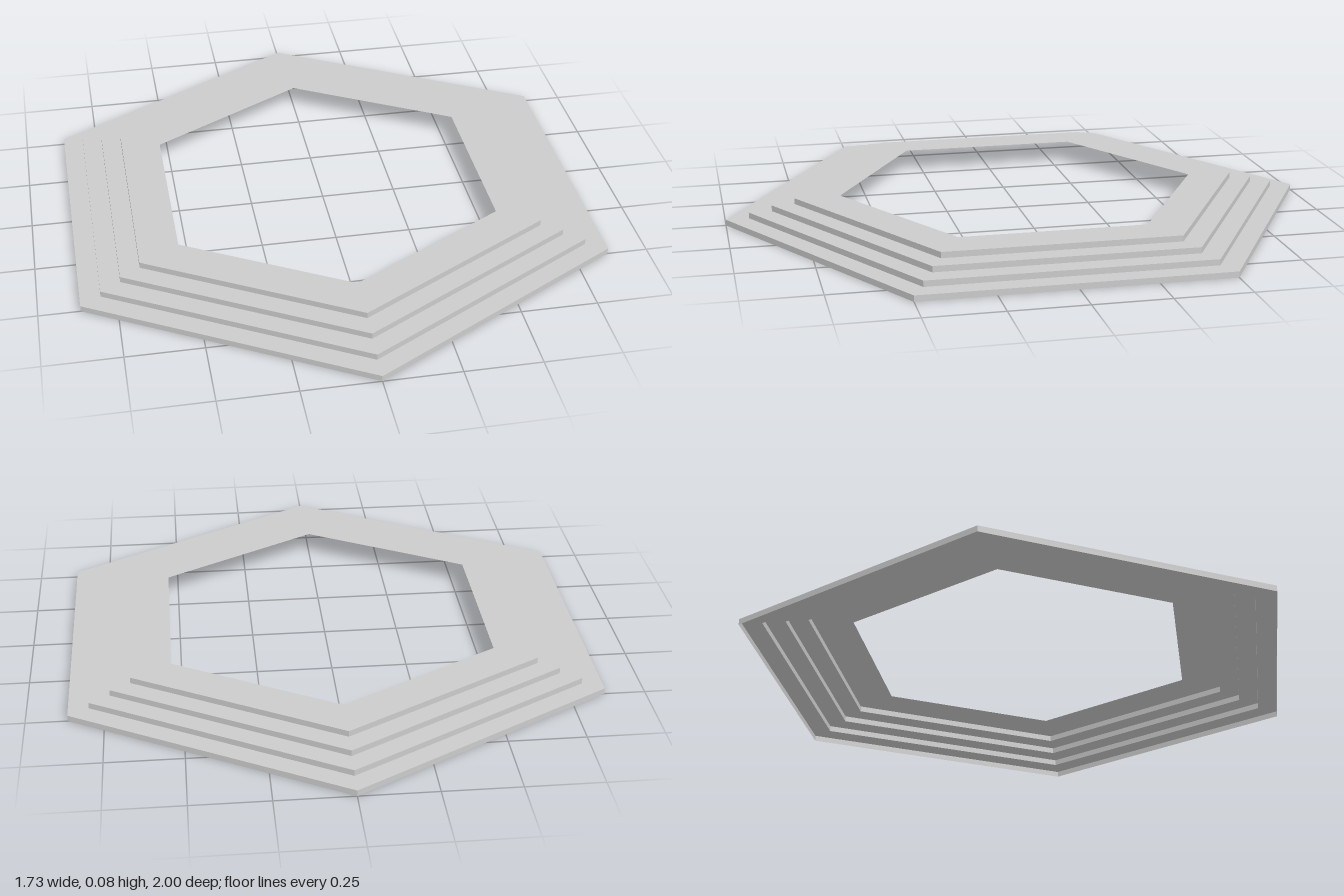
import * as THREE from 'three';

// Stepped hexagonal frame: four thin terraces rising towards an open centre.
export function createModel() {
  const group = new THREE.Group();
  group.name = 'steppedHexagonFrame';

  const material = new THREE.MeshStandardMaterial({
    color: 0xcccccc, flatShading: true, side: THREE.DoubleSide,
  });

  // Corner radii of the terraces, ending with the opening
  const radii = [13, 12, 11, 10, 8].map((r) => r / 13);
  const stepHeight = 0.02;

  // Each terrace is an outer riser and a flat tread, swept round six sides
  for (let i = 0; i < 4; i++) {
    const bottom = i * stepHeight, top = bottom + stepHeight;
    const profile = [
      new THREE.Vector2(radii[i], bottom),
      new THREE.Vector2(radii[i], top),
      new THREE.Vector2(radii[i + 1], top),
    ];
    const terrace = new THREE.Mesh(new THREE.LatheGeometry(profile, 6), material);
    terrace.name = `terrace${i + 1}`;
    group.add(terrace);
  }
  return group;
}
